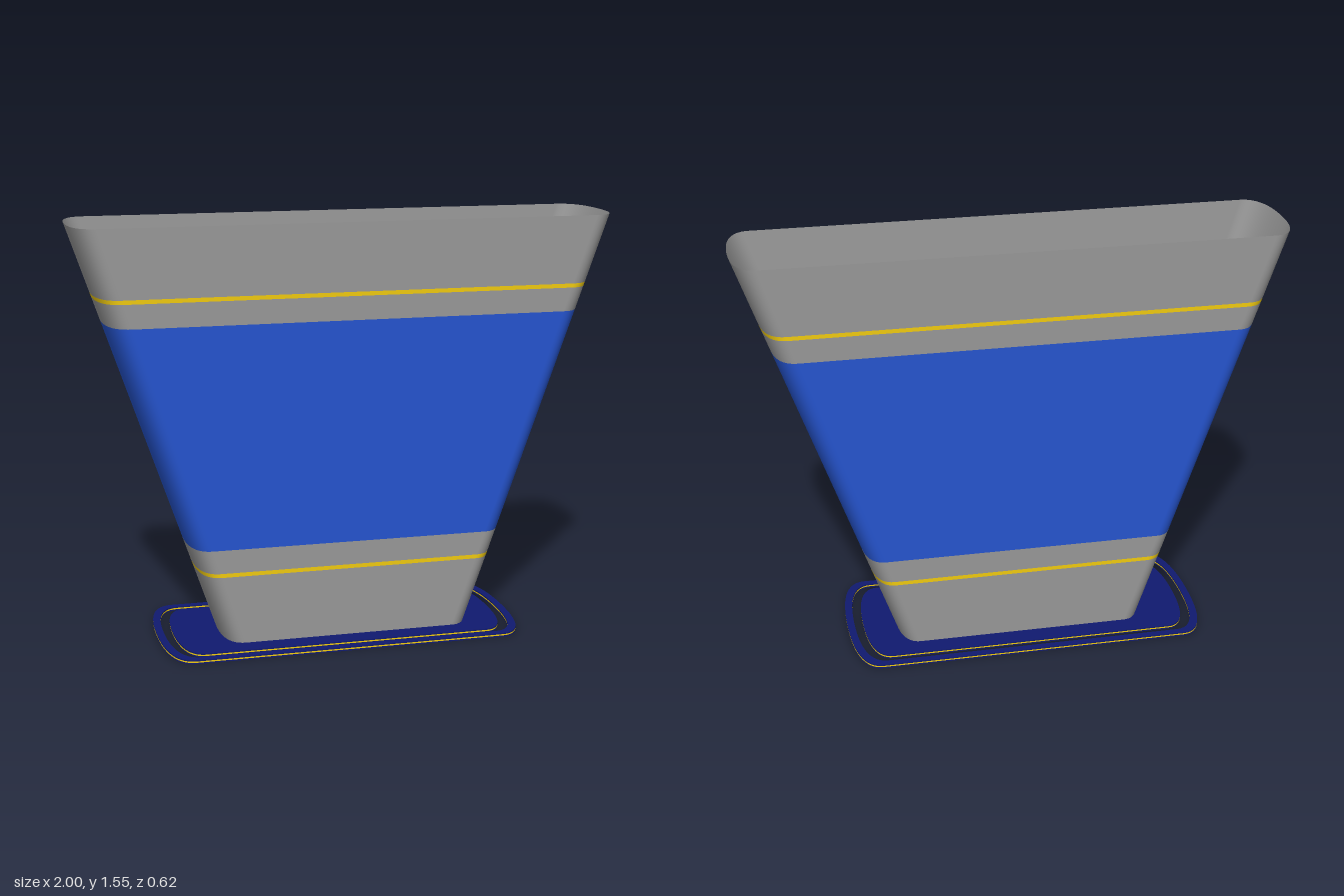
import * as THREE from 'three';

const GREY = 0x999999, BLUE = 0x2655d0, YELLOW = 0xf2cc10, NAVY = 0x101a70;
const material = (color) => new THREE.MeshStandardMaterial({ color, side: THREE.DoubleSide });

// Long outline with straight sides and softly bulging ends, as a closed loop of points
function outline(halfX, halfZ, corner, cx = 0, steps = 14) {
  const quarter = new THREE.CubicBezierCurve(
    new THREE.Vector2(halfX, 0),
    new THREE.Vector2(halfX, halfZ * 0.55),
    new THREE.Vector2(halfX - corner * 0.22, halfZ),
    new THREE.Vector2(halfX - corner, halfZ)
  ).getPoints(steps);
  const back = quarter.slice().reverse();
  return [
    ...quarter,
    ...back.slice(0, -1).map((p) => new THREE.Vector2(-p.x, p.y)),
    ...quarter.map((p) => new THREE.Vector2(-p.x, -p.y)),
    ...back.slice(0, -1).map((p) => new THREE.Vector2(p.x, -p.y)),
  ].map((p) => new THREE.Vector2(p.x + cx, p.y));
}

const BOTTOM = 0.015, TOP = 1.55;

// Cross-section of the flared shell at height y
function section(y) {
  const t = (y - BOTTOM) / (TOP - BOTTOM);
  const mix = (a, b) => a + (b - a) * t;
  return outline(mix(0.47, 0.998), mix(0.176, 0.208), mix(0.075, 0.09), mix(-0.01, 0));
}

// One coloured band of the shell, open at top and bottom
function shellBand(name, y0, y1, color) {
  const positions = [], index = [];
  const rows = [y0, y1].map((y) => ({ y, loop: section(y) }));
  for (const { y, loop } of rows) for (const p of loop) positions.push(p.x, y, p.y);
  const n = rows[0].loop.length;
  for (let i = 0; i < n; i++) {
    const j = (i + 1) % n;
    index.push(i, n + i, j, j, n + i, n + j);
  }
  const geometry = new THREE.BufferGeometry();
  geometry.setAttribute('position', new THREE.Float32BufferAttribute(positions, 3));
  geometry.setIndex(index);
  geometry.computeVertexNormals();
  const mesh = new THREE.Mesh(geometry, material(color));
  mesh.name = name;
  return mesh;
}

// Thin horizontal slab, optionally with a hole
function slab(name, outer, inner, y0, y1, color) {
  const shape = new THREE.Shape(outer);
  if (inner) shape.holes.push(new THREE.Path(inner));
  const geometry = new THREE.ExtrudeGeometry(shape, { depth: y1 - y0, bevelEnabled: false });
  geometry.rotateX(-Math.PI / 2).translate(0, y0, 0);
  const mesh = new THREE.Mesh(geometry, material(color));
  mesh.name = name;
  return mesh;
}

export function createModel() {
  const model = new THREE.Group();
  model.name = 'flaredVase';

  // Flared shell in stacked bands
  const shell = new THREE.Group();
  shell.name = 'shell';
  [
    ['footBand', BOTTOM, 0.272, GREY],
    ['lowerStripe', 0.272, 0.287, YELLOW],
    ['lowerGreyBand', 0.287, 0.375, GREY],
    ['middleBand', 0.375, 1.2, BLUE],
    ['upperGreyBand', 1.2, 1.287, GREY],
    ['upperStripe', 1.287, 1.302, YELLOW],
    ['rimBand', 1.302, TOP, GREY],
  ].forEach((band) => shell.add(shellBand(...band)));
  model.add(shell);

  // Base plate and the loose ring around it, each navy with a gold layer in the edge
  const base = new THREE.Group();
  base.name = 'base';
  const cx = -0.032;
  const plate = outline(0.617, 0.25, 0.085, cx);
  const ringOuter = outline(0.677, 0.309, 0.1, cx);
  const ringInner = outline(0.65, 0.283, 0.093, cx);
  [
    ['Underside', 0, 0.005, NAVY],
    ['Trim', 0.005, 0.01, YELLOW],
    ['Top', 0.01, 0.015, NAVY],
  ].forEach(([layer, y0, y1, color]) => {
    base.add(slab('plate' + layer, plate, null, y0, y1, color));
    base.add(slab('ring' + layer, ringOuter, ringInner, y0, y1, color));
  });
  model.add(base);
  return model;
}
